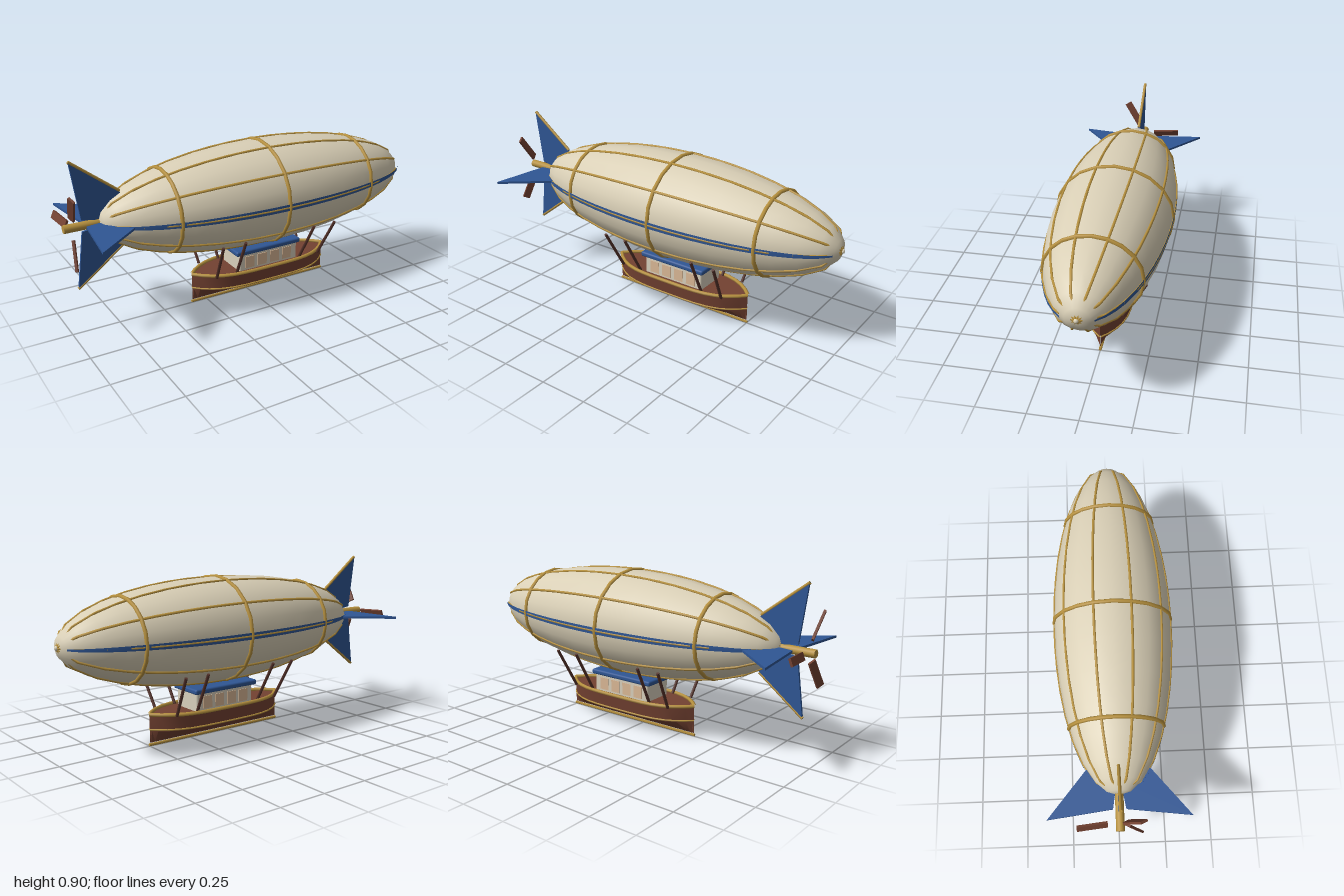
import * as THREE from 'three';
import { toCreasedNormals } from 'three/addons/utils/BufferGeometryUtils.js';
import { RoundedBoxGeometry } from 'three/addons/geometries/RoundedBoxGeometry.js';

const V = (x, y, z) => new THREE.Vector3(x, y, z);
const CX = 0.08, CY = 0.566;              // envelope centre
const RX = 0.91, RY = 0.273, RZ = 0.304;  // envelope radii

export function createModel() {
  const model = new THREE.Group();
  const mat = (name, color) => {
    const m = new THREE.MeshStandardMaterial({ color });
    m.name = name;
    return m;
  };
  const canvas = mat('cream canvas', 0xd9cfb6);
  const gold = mat('gold trim', 0xb8923f);
  const blue = mat('blue paint', 0x2f5694);
  const wood = mat('brown wood', 0x744232);
  const darkWood = mat('dark wood', 0x55322a);
  const cream = mat('cabin cream', 0xd8d0bc);
  const pane = mat('window tan', 0xdab896);

  const add = (name, geo, material, parent = model) => {
    const m = new THREE.Mesh(geo, material);
    m.name = name;
    parent.add(m);
    return m;
  };
  const group = (name) => {
    const g = new THREE.Group();
    g.name = name;
    model.add(g);
    return g;
  };
  const tube = (name, pts, r, material, parent, closed = false) => add(name,
    new THREE.TubeGeometry(new THREE.CatmullRomCurve3(pts, closed), closed ? pts.length : Math.max(pts.length - 1, 1), r, 6, closed),
    material, parent);
  const rod = (name, a, b, r, material, parent, sides = 8) => {
    const d = b.clone().sub(a);
    const m = add(name, new THREE.CylinderGeometry(r, r, d.length(), sides), material, parent);
    m.position.copy(a).add(b).multiplyScalar(0.5);
    m.quaternion.setFromUnitVectors(V(0, 1, 0), d.normalize());
    return m;
  };

  // Envelope: ellipsoid with its poles on x
  const envelope = add('envelope', new THREE.SphereGeometry(1, 20, 16).rotateZ(-Math.PI / 2).scale(RX, RY, RZ), canvas);
  envelope.position.set(CX, CY, 0);
  add('noseKnob', new THREE.SphereGeometry(0.012, 10, 8), canvas).position.set(0.988, CY, 0);

  // Point on the envelope: s runs nose to tail, a runs around
  const onHull = (s, a) => V(CX + RX * Math.cos(s), CY + RY * Math.sin(s) * Math.sin(a), RZ * Math.sin(s) * Math.cos(a));

  // Lengthwise ribs and ring frames
  const frame = group('envelopeFrame');
  for (let i = 0; i < 10; i++) {
    const pts = [];
    for (let k = 0; k <= 16; k++) pts.push(onHull(k * Math.PI / 16, i * Math.PI / 5));
    tube('rib', pts, 0.007, gold, frame);
  }
  for (const x of [-0.57, 0, 0.57]) {
    const pts = [];
    for (let k = 0; k < 20; k++) pts.push(onHull(Math.acos(x / RX), k * Math.PI / 10));
    tube('ringFrame', pts, 0.011, gold, frame, true);
  }

  // Blue side bands tapering to both ends
  const half = 0.062;
  for (const a of [Math.PI / 2, -Math.PI / 2]) {
    const geo = new THREE.SphereGeometry(1.014, 2, 20, a - half, half * 2, 0.25, Math.PI - 0.5);
    add('sideBand', geo.rotateZ(-Math.PI / 2).scale(RX, RY, RZ), blue).position.set(CX, CY, 0);
  }

  // Tail fins; the upright pair has a gold leading edge
  const finShape = new THREE.Shape([[-0.95, 0.326], [-0.91, 0.03], [-0.78, 0.01], [-0.68, 0.1], [-0.72, 0.15]]
    .map(([x, y]) => new THREE.Vector2(x, y)));
  const finGeo = new THREE.ExtrudeGeometry(finShape, { depth: 0.012, bevelEnabled: false }).translate(0, 0, -0.006);
  for (let i = 0; i < 4; i++) {
    const fin = group('tailFin');
    const blade = add('finBlade', finGeo, blue, fin);
    if (i % 2) {
      blade.scale.y = 1.08;
      blade.position.x = 0.014;
    } else {
      rod('finEdge', V(-0.95, 0.324, 0), V(-0.71, 0.142, 0), 0.008, gold, fin);
    }
    fin.position.y = CY;
    fin.rotation.x = i * Math.PI / 2;
  }

  // Propeller shaft and three raked blades
  rod('propellerShaft', V(-1, CY, 0), V(-0.76, CY, 0), 0.021, gold, model, 10);
  for (let i = 0; i < 3; i++) {
    const arm = group('propellerBlade');
    const b = add('blade', new THREE.BoxGeometry(0.012, 0.15, 0.04), wood, arm);
    b.position.y = 0.135;
    b.rotation.set(0, 0.4, 0.12);
    arm.position.set(-0.973, CY, 0);
    arm.rotation.x = -Math.PI / 2 + i * Math.PI * 2 / 3;
  }

  // Gondola hull: double-ended boat, five-point cross-sections
  const x0 = -0.335, x1 = 0.5, N = 16;
  const stations = [];
  for (let i = 0; i <= N; i++) {
    const t = -Math.cos(i * Math.PI / N);
    stations.push([(x0 + x1) / 2 + t * (x1 - x0) / 2, Math.max(0.127 * (1 - Math.abs(t) ** 4), 0.001)]);
  }
  const pos = [], idx = [];
  for (const [x, w] of stations) {
    for (const [y, s] of [[0.16, 1], [0.08, 0.91], [0.018, 0], [0.08, -0.91], [0.16, -1]]) pos.push(x, y, w * s);
  }
  for (let i = 0; i < N; i++) {
    for (let j = 0; j < 5; j++) {
      const k = (j + 1) % 5, a = i * 5 + j, b = i * 5 + k, c = b + 5, d = a + 5;
      idx.push(a, b, c, a, c, d);
    }
  }
  const hullGeo = new THREE.BufferGeometry();
  hullGeo.setAttribute('position', new THREE.Float32BufferAttribute(pos, 3));
  hullGeo.setIndex(idx);
  hullGeo.computeVertexNormals();
  add('gondolaHull', toCreasedNormals(hullGeo, 0.45), wood);

  // Gold rails, chine strips and keel
  const trim = group('gondolaTrim');
  for (const s of [1, -1]) {
    tube('rail', stations.map(([x, w]) => V(x, 0.166, s * w)), 0.01, gold, trim);
    tube('chineStrip', stations.map(([x, w]) => V(x, 0.087, s * w * 0.92)), 0.005, gold, trim);
  }
  rod('keel', V(-0.34, 0.008, 0), V(0.504, 0.008, 0), 0.008, gold, trim, 4);

  // Cabin with roof and side windows
  const cabin = group('cabin');
  add('cabinWalls', new RoundedBoxGeometry(0.365, 0.11, 0.178, 2, 0.01), cream, cabin).position.set(0.087, 0.203, 0);
  add('cabinRoof', new RoundedBoxGeometry(0.4, 0.028, 0.206, 2, 0.01), blue, cabin).position.set(0.083, 0.265, 0);
  for (const s of [1, -1]) {
    for (let i = 0; i < 4; i++) {
      add('window', new THREE.BoxGeometry(0.056, 0.066, 0.007), pane, cabin)
        .position.set(0.085 + (i - 1.5) * 0.078, 0.204, s * 0.089);
    }
  }

  // Slanted struts from rail to envelope
  const struts = group('struts');
  for (const s of [1, -1]) {
    for (const [bottom, top] of [[-0.24, -0.262], [-0.12, -0.132], [0.278, 0.29], [0.402, 0.424]]) {
      rod('strut', V(bottom, 0.165, s * 0.103), V(top, 0.385, s * 0.22), 0.008, darkWood, struts);
    }
  }
  return model;
}
